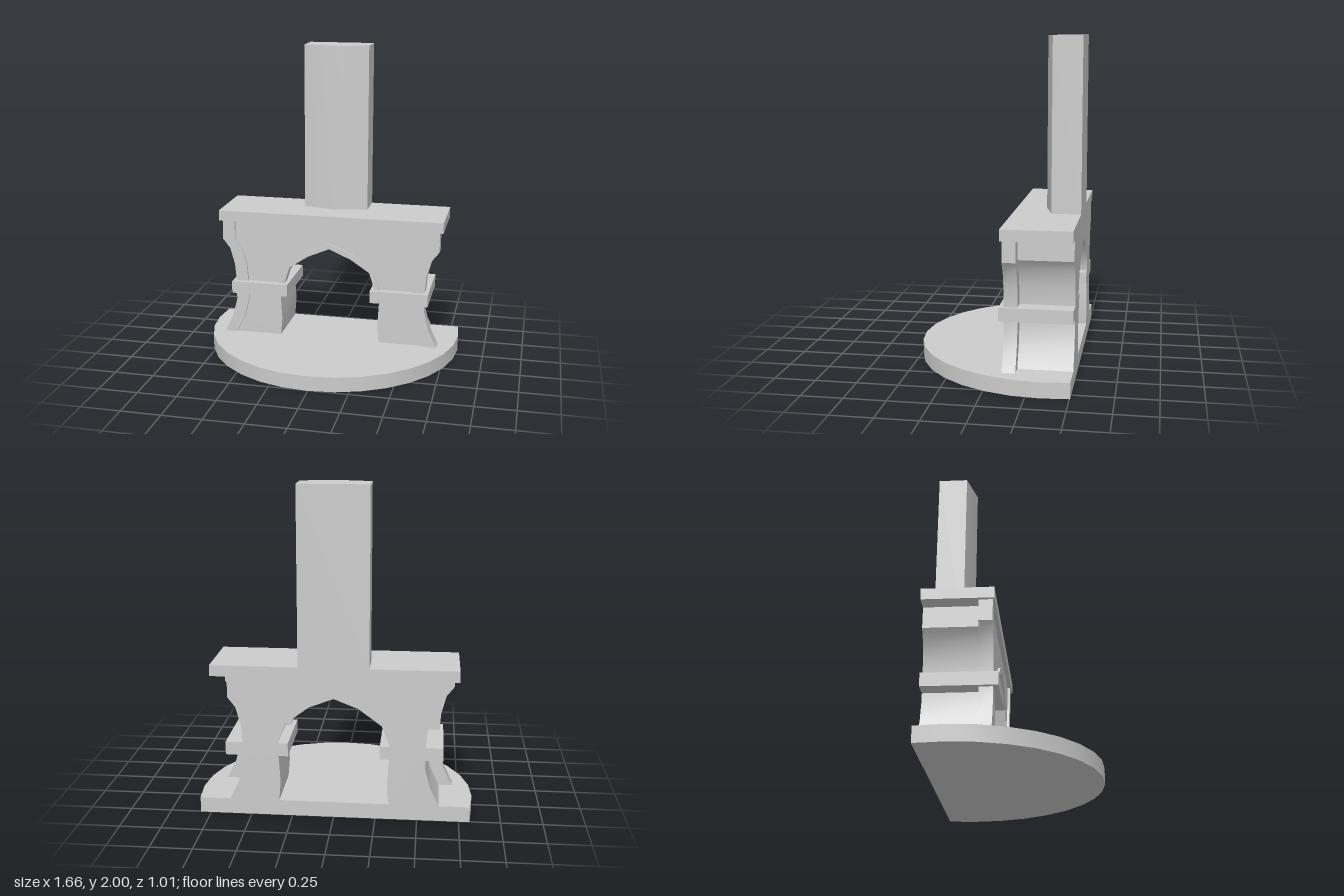
import * as THREE from 'three';
import { toCreasedNormals } from 'three/addons/utils/BufferGeometryUtils.js';

const BACK = -0.505, FRONT = -0.1;
const material = new THREE.MeshStandardMaterial({ color: 0xcccccc });

function addMesh(group, name, geometry) {
  const mesh = new THREE.Mesh(geometry, material);
  mesh.name = name;
  group.add(mesh);
}

const toShape = (points) => new THREE.Shape(points.map(([x, y]) => new THREE.Vector2(x, y)));
const mirror = (points) => points.map(([x, y]) => [-x, y]);
const reversed = (points) => [...points].reverse();

// Front outline pushed from z0 to z1
function slab(points, z0, z1) {
  const geometry = new THREE.ExtrudeGeometry(toShape(points), { depth: z1 - z0, bevelEnabled: false });
  geometry.translate(0, 0, z0);
  return toCreasedNormals(geometry, 0.6);
}

// Plan outline given as [x, z], raised from y0 to y1
function plan(points, y0, y1) {
  const geometry = new THREE.ExtrudeGeometry(toShape(points.map(([x, z]) => [x, -z])),
    { depth: y1 - y0, bevelEnabled: false });
  geometry.rotateX(-Math.PI / 2);
  geometry.translate(0, y0, 0);
  return toCreasedNormals(geometry, 0.5);
}

function box(x0, x1, y0, y1, z0, z1) {
  const geometry = new THREE.BoxGeometry(x1 - x0, y1 - y0, z1 - z0);
  geometry.translate((x0 + x1) / 2, (y0 + y1) / 2, (z0 + z1) / 2);
  return geometry;
}

export function createModel() {
  const group = new THREE.Group();

  // Rounded hearth, cut straight at the back
  const hearth = [[-0.815, BACK]];
  for (let i = 0; i <= 16; i++) {
    const a = (i / 16) * Math.PI;
    hearth.push([-0.83 * Math.cos(a), -0.33 + 0.835 * Math.sin(a)]);
  }
  hearth.push([0.815, BACK]);
  addMesh(group, 'hearth', plan(hearth, 0, 0.095));

  // Curved outer side and pointed arch, bottom to top, for the +x half
  const side = [[0.63, 0.095], [0.575, 0.21], [0.545, 0.33], [0.545, 0.46],
    [0.555, 0.57], [0.585, 0.68], [0.632, 0.74], [0.632, 0.868]];
  const archOuter = [[0.335, 0.46], [0.285, 0.587], [0.148, 0.69], [0, 0.748]];
  const archInner = [[0.3, 0.46], [0.265, 0.572], [0.14, 0.655], [0, 0.715]];
  const opening = [[0.33, 0.095], [0.32, 0.21], [0.33, 0.38], ...archOuter];

  // Surround with the fire opening running right through
  const surround = [...side, ...reversed(mirror(side)),
    ...mirror(opening), ...reversed(opening).slice(1)];
  addMesh(group, 'surround', slab(surround, BACK, FRONT - 0.015));

  // Thin lip lining the front of the arch
  const lip = [...archOuter, ...reversed(mirror(archOuter)).slice(1),
    ...mirror(archInner), ...reversed(archInner).slice(1)];
  addMesh(group, 'archLip', slab(lip, FRONT - 0.08, FRONT));

  // Side trims and the bands around the legs
  const trim = [...side.map(([x, y]) => [x + 0.081, y]), ...reversed(side)];
  for (const [name, sign] of [['left', 1], ['right', -1]]) {
    const outline = trim.map(([x, y]) => [x * sign, y]);
    addMesh(group, name + 'SideTrim', slab(outline, FRONT - 0.08, FRONT));
    const centre = 0.462 * sign;
    addMesh(group, name + 'LegBand', box(centre - 0.188, centre + 0.188, 0.38, 0.46, BACK, -0.07));
  }

  // Mantel shelf
  addMesh(group, 'mantel', box(-0.735, 0.735, 0.868, 0.935, BACK, -0.09));

  // Chimney breast with a shallow pointed front
  const chimney = [[-0.21, BACK], [-0.21, -0.325], [0, -0.275], [0.21, -0.325], [0.21, BACK]];
  addMesh(group, 'chimney', plan(chimney, 0.935, 2));

  return group;
}
